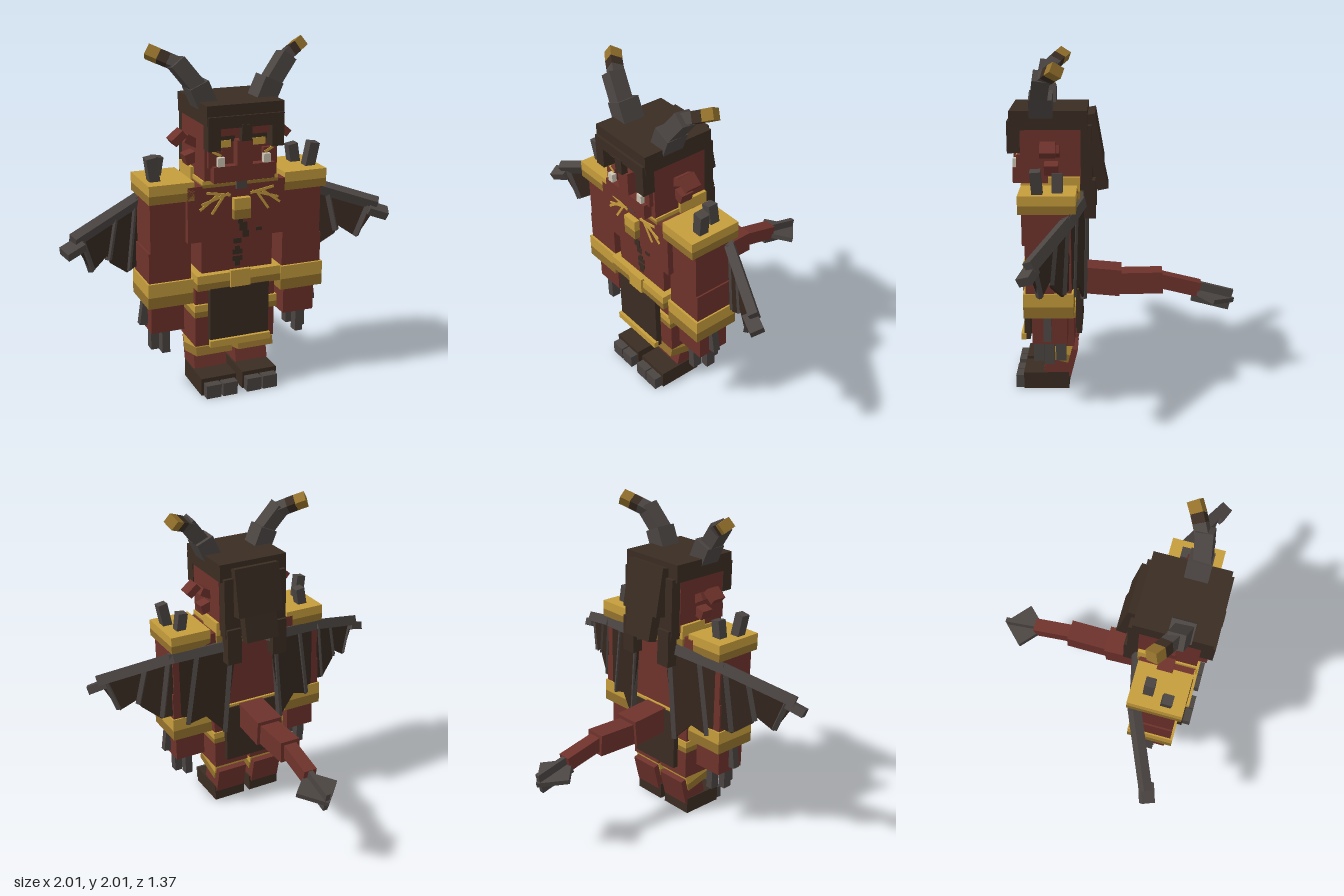
import * as THREE from 'three';

const mat = (name, color, side = THREE.FrontSide) => {
  const m = new THREE.MeshStandardMaterial({ color, side });
  m.name = name;
  return m;
};

export function createModel() {
  const root = new THREE.Group();
  root.name = 'hornedWarrior';
  const red = mat('red skin', 0x6e322b);
  const brown = mat('dark brown', 0x3a2c22);
  const gold = mat('gold', 0xc69d3c);
  const bronze = mat('shaded gold', 0x94712c);
  const grey = mat('horn grey', 0x4b4542);
  const bone = mat('tusk white', 0xcfc6b4);
  const membrane = mat('wing membrane', 0x35271e, THREE.DoubleSide);

  // Box from its extents, with optional rotation about its centre
  function box(name, m, [x0, x1], [y0, y1], [z0, z1], rot = [0, 0, 0]) {
    const mesh = new THREE.Mesh(new THREE.BoxGeometry(Math.abs(x1 - x0), y1 - y0, z1 - z0), m);
    mesh.position.set((x0 + x1) / 2, (y0 + y1) / 2, (z0 + z1) / 2);
    mesh.rotation.set(...rot);
    mesh.name = name;
    root.add(mesh);
    return mesh;
  }
  // Mirrored pair of boxes
  function pair(name, m, [x0, x1], y, z, [rx, ry, rz] = [0, 0, 0]) {
    for (const s of [1, -1]) box(name, m, [s * x0, s * x1], y, z, [rx, ry * s, rz * s]);
  }
  // Box running from a to b, mirrored when both is set
  function beam(name, m, a, b, w, d = w, both = true) {
    for (const s of both ? [1, -1] : [1]) {
      const p = new THREE.Vector3(a[0] * s, a[1], a[2]);
      const q = new THREE.Vector3(b[0] * s, b[1], b[2]);
      const mesh = new THREE.Mesh(new THREE.BoxGeometry(w, p.distanceTo(q), d), m);
      mesh.position.copy(p).add(q).multiplyScalar(0.5);
      mesh.quaternion.setFromUnitVectors(new THREE.Vector3(0, 1, 0), q.sub(p).normalize());
      mesh.name = name;
      root.add(mesh);
    }
  }
  // Gold band with a darker lower part
  function band(name, x, [y0, y1], z, mirrored = true) {
    const mid = y0 + (y1 - y0) * 0.45;
    const make = mirrored ? pair : box;
    make(name, gold, x, [mid, y1], z);
    make(name + 'Lower', bronze, x, [y0, mid], z);
  }

  // Feet and legs
  pair('foot', brown, [0.02, 0.235], [0, 0.105], [0.335, 0.61]);
  for (const x of [0.03, 0.13]) pair('toe', grey, [x, x + 0.09], [0, 0.08], [0.58, 0.66]);
  pair('shin', red, [0.03, 0.23], [0.09, 0.27], [0.3, 0.47], [-0.25, 0, 0]);
  pair('kneeCuff', gold, [0.02, 0.24], [0.245, 0.31], [0.315, 0.53], [-0.25, 0, 0]);
  pair('kneeCuffLower', bronze, [0.02, 0.24], [0.195, 0.245], [0.33, 0.545], [-0.25, 0, 0]);
  pair('thigh', red, [0.01, 0.245], [0.28, 0.66], [0.3, 0.54]);
  band('thighBand', [0.01, 0.255], [0.465, 0.54], [0.29, 0.555]);

  // Belt and loincloth
  band('belt', [-0.255, 0.255], [0.645, 0.735], [0.265, 0.6], false);
  box('buckle', gold, [-0.06, 0.06], [0.65, 0.75], [0.59, 0.615]);
  box('frontCloth', brown, [-0.18, 0.18], [0.3, 0.65], [0.57, 0.605]);
  box('clothTrim', gold, [-0.185, 0.185], [0.3, 0.34], [0.595, 0.625]);
  box('backCloth', brown, [-0.18, 0.18], [0.34, 0.72], [0.255, 0.29]);

  // Torso
  box('abdomen', red, [-0.215, 0.215], [0.72, 0.95], [0.28, 0.56]);
  box('chest', red, [-0.31, 0.31], [0.935, 1.255], [0.27, 0.595]);
  band('collar', [-0.225, 0.225], [1.245, 1.285], [0.265, 0.6], false);
  band('backCollar', [-0.235, 0.235], [1.17, 1.325], [0.255, 0.44], false);
  box('pendantLink', grey, [-0.03, 0.03], [1.225, 1.285], [0.59, 0.615]);
  band('pendant', [-0.05, 0.05], [1.055, 1.175], [0.59, 0.63], false);
  // Chest markings and scars
  for (const [x0, y0, x1, y1] of [[0.06, 1.19, 0.2, 1.215], [0.07, 1.2, 0.23, 1.15],
    [0.1, 1.19, 0.17, 1.09], [0.13, 1.2, 0.24, 1.12]])
    beam('chestMarking', gold, [x0, y0, 0.597], [x1, y1, 0.597], 0.014, 0.008);
  for (const [x, y, w, h] of [[0, 1.04, 0.03, 0.04], [0.02, 1.0, 0.05, 0.05], [0.035, 0.955, 0.04, 0.04], [0.115, 0.975, 0.035, 0.02]])
    box('chestScar', brown, [x - w / 2, x + w / 2], [y - h / 2, y + h / 2], [0.592, 0.599]);
  for (const [y, w] of [[0.905, 0.05], [0.86, 0.03], [0.84, 0.06], [0.8, 0.06], [0.77, 0.03]])
    box('bellyScar', brown, [-w / 2, w / 2], [y - 0.015, y + 0.015], [0.557, 0.564]);

  // Arms
  band('shoulderPad', [0.27, 0.53], [1.18, 1.285], [0.27, 0.595]);
  beam('shoulderSpike', grey, [0.465, 1.27, 0.485], [0.49, 1.42, 0.495], 0.06);
  beam('shoulderSpike', grey, [0.43, 1.27, 0.375], [0.41, 1.39, 0.375], 0.06);
  pair('upperArm', red, [0.28, 0.515], [0.87, 1.18], [0.3, 0.56]);
  pair('forearm', red, [0.28, 0.525], [0.7, 0.89], [0.3, 0.56]);
  band('bracer', [0.27, 0.535], [0.57, 0.715], [0.29, 0.575]);
  pair('hand', red, [0.31, 0.505], [0.4, 0.57], [0.33, 0.53]);
  for (const [x, z] of [[0.395, 0.34], [0.44, 0.405], [0.395, 0.47]])
    pair('claw', grey, [x, x + 0.047], [0.27, 0.41], [z, z + 0.058]);
  beam('thumbClaw', grey, [0.51, 0.57, 0.44], [0.53, 0.43, 0.44], 0.045);

  // Head and face
  box('neck', red, [-0.17, 0.17], [1.24, 1.32], [0.3, 0.56]);
  box('head', red, [-0.215, 0.215], [1.28, 1.6], [0.25, 0.6]);
  box('jaw', red, [-0.18, 0.18], [1.28, 1.37], [0.57, 0.65]);
  box('nose', red, [-0.045, 0.045], [1.37, 1.51], [0.59, 0.655]);
  pair('cheek', red, [0.12, 0.2], [1.36, 1.45], [0.58, 0.625]);
  pair('tusk', bone, [0.115, 0.155], [1.37, 1.42], [0.62, 0.65]);
  pair('eyeSocket', brown, [0.04, 0.15], [1.495, 1.55], [0.597, 0.604]);
  pair('brow', red, [0.04, 0.15], [1.535, 1.585], [0.59, 0.635]);
  pair('eye', gold, [0.065, 0.14], [1.465, 1.505], [0.598, 0.607]);
  pair('cheekPaint', gold, [0.125, 0.18], [1.43, 1.445], [0.62, 0.628], [0, 0, 0.5]);
  // Ears
  pair('earTip', red, [0.27, 0.355], [1.48, 1.525], [0.39, 0.48], [0, 0, -0.7]);
  pair('earUpper', red, [0.2, 0.275], [1.455, 1.505], [0.37, 0.47], [0, 0, 0.5]);
  pair('earLower', red, [0.2, 0.27], [1.35, 1.41], [0.38, 0.46], [0, 0, -0.3]);

  // Hair
  box('hairTop', brown, [-0.225, 0.225], [1.6, 1.71], [0.21, 0.66]);
  box('hairFringe', brown, [-0.22, 0.22], [1.585, 1.65], [0.6, 0.675]);
  pair('sideLock', brown, [0.15, 0.22], [1.465, 1.6], [0.6, 0.675]);
  box('centreLock', brown, [-0.03, 0.03], [1.51, 1.6], [0.64, 0.68]);
  box('hairBack', brown, [-0.21, 0.21], [1.24, 1.62], [0.185, 0.26]);
  box('hairBackUpper', brown, [-0.15, 0.15], [1.38, 1.68], [0.14, 0.215], [0.17, 0, 0]);
  box('hairBackMiddle', brown, [-0.11, 0.11], [1.22, 1.46], [0.115, 0.18], [0.2, 0, 0]);
  pair('longLock', brown, [0.11, 0.205], [1.07, 1.3], [0.165, 0.235]);

  // Horns
  beam('hornBase', grey, [0.15, 1.64, 0.475], [0.22, 1.8, 0.475], 0.115, 0.135);
  beam('hornMiddle', grey, [0.2, 1.76, 0.49], [0.325, 1.92, 0.46], 0.09, 0.1);
  beam('hornUpper', grey, [0.29, 1.895, 0.46], [0.355, 1.925, 0.425], 0.065, 0.075);
  beam('hornRing', brown, [0.355, 1.925, 0.425], [0.4, 1.945, 0.4], 0.065, 0.075);
  beam('hornTip', bronze, [0.4, 1.945, 0.4], [0.455, 1.97, 0.365], 0.065, 0.075);

  // Tail with a crossed spade tip
  beam('tailBase', red, [0, 0.65, 0.3], [0, 0.625, 0.02], 0.17, 0.165, false);
  beam('tailMiddle', red, [0, 0.615, 0.04], [0, 0.62, -0.24], 0.13, 0.135, false);
  beam('tailEnd', red, [0, 0.625, -0.22], [0, 0.565, -0.47], 0.085, 0.09, false);
  const tip = new THREE.Group();
  tip.name = 'tailTip';
  const blade = new THREE.Mesh(new THREE.BoxGeometry(0.2, 0.03, 0.2), grey);
  blade.rotation.y = Math.PI / 4;
  blade.name = 'tailBlade';
  const fin = new THREE.Mesh(new THREE.BoxGeometry(0.03, 0.13, 0.24), grey);
  fin.name = 'tailFin';
  tip.add(blade, fin);
  tip.position.set(0, 0.52, -0.55);
  tip.rotation.x = -0.25;
  root.add(tip);

  // Wings: two sloping membranes, each flat, hung from an arm bone
  const innerZ = x => 0.215 + (x - 0.12) * 0.24;
  const outerZ = x => 0.31 + (x - 0.52) * 0.46;
  function wingPanel(points, zAt) {
    for (const s of [1, -1]) {
      const shape = new THREE.Shape(points.map(([x, y]) => new THREE.Vector2(x * s, y)));
      const geo = new THREE.ExtrudeGeometry(shape, { depth: 0.015, bevelEnabled: false });
      const p = geo.attributes.position;
      for (let i = 0; i < p.count; i++) p.setZ(i, p.getZ(i) + zAt(Math.abs(p.getX(i))));
      geo.computeVertexNormals();
      const mesh = new THREE.Mesh(geo, membrane);
      mesh.name = 'wingMembrane';
      root.add(mesh);
    }
  }
  wingPanel([[0.12, 1.18], [0.52, 1.13], [0.52, 0.74], [0.43, 0.66], [0.32, 0.7], [0.2, 0.57]], innerZ);
  wingPanel([[0.52, 1.13], [0.92, 0.98], [0.82, 0.79], [0.72, 0.86], [0.7, 0.81], [0.59, 0.72], [0.52, 0.74]], outerZ);
  beam('wingInnerBone', grey, [0.1, 1.18, 0.225], [0.53, 1.13, 0.32], 0.06, 0.05);
  beam('wingOuterBone', grey, [0.5, 1.135, 0.31], [0.93, 1.0, 0.5], 0.065, 0.055);
  beam('wingTip', grey, [0.88, 0.975, 0.49], [0.985, 0.94, 0.525], 0.05, 0.08);
  for (const [x0, y0, x1, y1, zAt] of [[0.15, 1.17, 0.2, 0.57, innerZ], [0.36, 1.14, 0.43, 0.66, innerZ],
    [0.53, 1.12, 0.58, 0.73, outerZ], [0.66, 1.07, 0.71, 0.83, outerZ], [0.88, 0.99, 0.82, 0.8, outerZ]])
    beam('wingFinger', grey, [x0, y0, zAt(x0) + 0.008], [x1, y1, zAt(x1) + 0.008], 0.03);

  return root;
}
